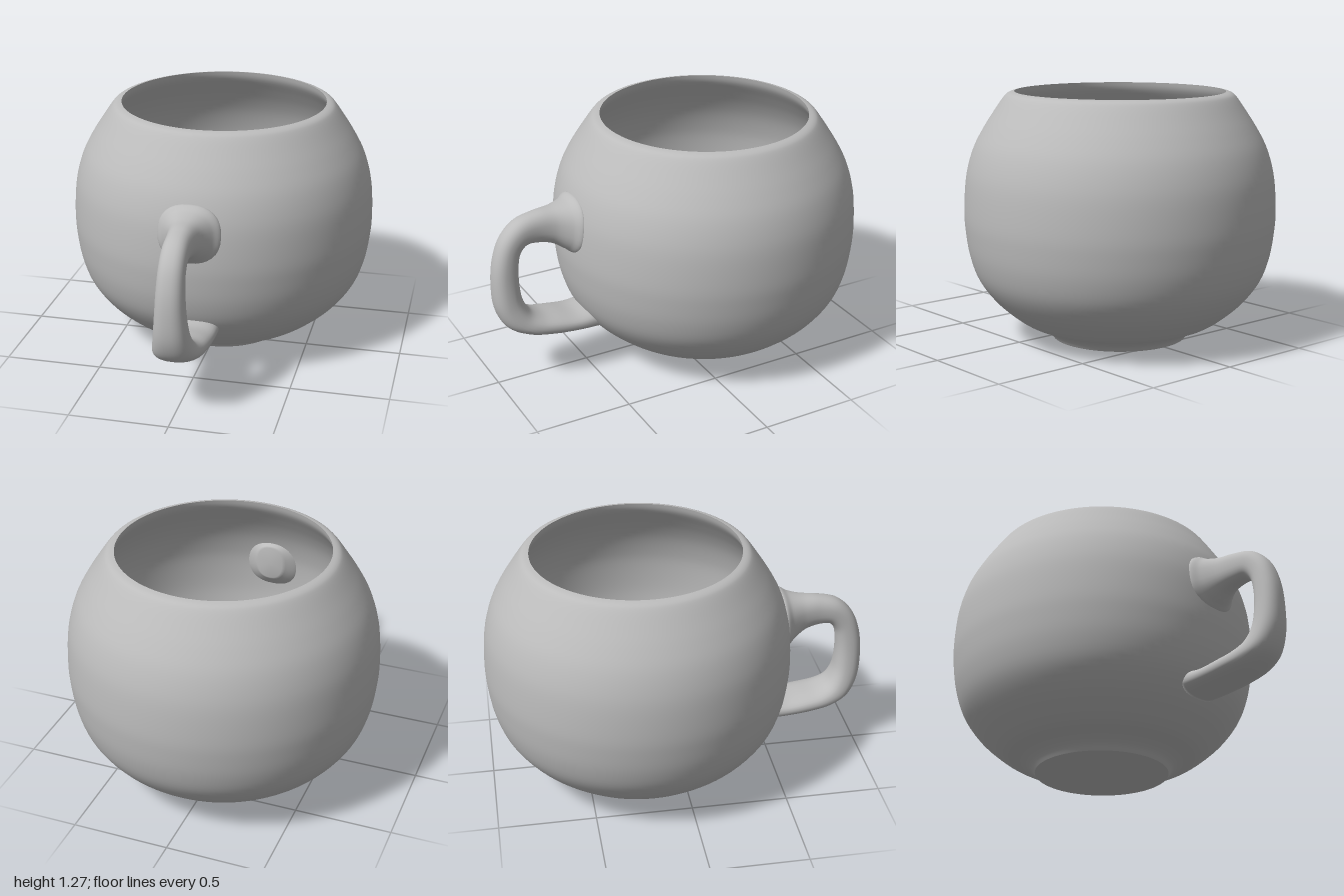
import * as THREE from 'three';

const clay = new THREE.MeshStandardMaterial({ color: 0xbcbcbc });
clay.name = 'grey clay';

const BODY_Z = -0.205;

// Smooth curve through [radius, height] pairs
const smooth = (pts, n) =>
  new THREE.SplineCurve(pts.map(([x, y]) => new THREE.Vector2(x, y))).getPoints(n);

function lathe(name, points) {
  const mesh = new THREE.Mesh(new THREE.LatheGeometry(points, 96), clay);
  mesh.name = name;
  mesh.position.z = BODY_Z;
  return mesh;
}

// Closed tube lofted through rows of [outerZ, outerY, innerZ, innerY, halfWidth]
function loftHandle(rows, steps, sides) {
  const outer = new THREE.CatmullRomCurve3(rows.map(r => new THREE.Vector3(0, r[1], r[0])));
  const inner = new THREE.CatmullRomCurve3(rows.map(r => new THREE.Vector3(r[4], r[3], r[2])));
  const pos = [], index = [];
  const squash = v => Math.sign(v) * Math.pow(Math.abs(v), 0.85);
  for (let i = 0; i <= steps; i++) {
    const a = outer.getPoint(i / steps), b = inner.getPoint(i / steps);
    for (let j = 0; j < sides; j++) {
      const t = (j / sides) * Math.PI * 2;
      const k = (1 + squash(Math.cos(t))) / 2;
      pos.push(b.x * squash(Math.sin(t)), b.y + (a.y - b.y) * k, b.z + (a.z - b.z) * k);
      if (i < steps) {
        const p = i * sides + j, q = i * sides + (j + 1) % sides;
        index.push(p, p + sides, q, q, p + sides, q + sides);
      }
    }
  }
  // End caps, buried in the wall
  for (const [row, step] of [[rows[0], 0], [rows[rows.length - 1], steps]]) {
    const c = pos.length / 3, s = step * sides;
    pos.push(0, (row[1] + row[3]) / 2, (row[0] + row[2]) / 2);
    for (let j = 0; j < sides; j++) {
      const p = s + j, q = s + (j + 1) % sides;
      if (step === 0) index.push(c, p, q);
      else index.push(c, q, p);
    }
  }
  const geo = new THREE.BufferGeometry();
  geo.setAttribute('position', new THREE.Float32BufferAttribute(pos, 3));
  geo.setIndex(index);
  geo.computeVertexNormals();
  return geo;
}

export function createModel() {
  const mug = new THREE.Group();
  mug.name = 'mug';

  // Round outer wall with a small foot and rolled rim
  mug.add(lathe('outerWall', smooth([
    [0.345, 0], [0.37, 0.03], [0.42, 0.06], [0.5, 0.093], [0.58, 0.15], [0.66, 0.225],
    [0.73, 0.325], [0.77, 0.44], [0.789, 0.56], [0.795, 0.66], [0.788, 0.8], [0.771, 0.9],
    [0.738, 1.0], [0.69, 1.09], [0.64, 1.168], [0.59, 1.24], [0.565, 1.262], [0.535, 1.27],
  ], 72)));

  // Hollow inside, from the rim down to the floor
  mug.add(lathe('innerWall', smooth([
    [0.535, 1.27], [0.55, 1.225], [0.605, 1.15], [0.66, 1.07], [0.705, 0.985], [0.737, 0.89],
    [0.754, 0.8], [0.761, 0.66], [0.755, 0.56], [0.736, 0.45], [0.697, 0.345], [0.63, 0.25],
    [0.55, 0.18], [0.47, 0.13], [0.39, 0.1], [0.32, 0.08], [0.27, 0.045],
  ], 64)));

  mug.add(lathe('innerFloor', [new THREE.Vector2(0.27, 0.045), new THREE.Vector2(0, 0.045)]));
  mug.add(lathe('base', [new THREE.Vector2(0, 0), new THREE.Vector2(0.345, 0)]));

  // Handle: flared at the top joint, wide and flat at the lower joint
  const handle = new THREE.Mesh(loftHandle([
    [0.49, 0.93, 0.49, 0.75, 0.07],
    [0.545, 0.965, 0.575, 0.67, 0.16],
    [0.59, 0.945, 0.615, 0.695, 0.125],
    [0.66, 0.93, 0.68, 0.738, 0.085],
    [0.75, 0.922, 0.75, 0.757, 0.068],
    [0.86, 0.892, 0.815, 0.757, 0.065],
    [0.94, 0.815, 0.848, 0.72, 0.065],
    [0.985, 0.7, 0.862, 0.65, 0.069],
    [1.0, 0.56, 0.863, 0.55, 0.076],
    [0.988, 0.42, 0.85, 0.465, 0.088],
    [0.94, 0.325, 0.815, 0.4, 0.105],
    [0.85, 0.275, 0.76, 0.367, 0.12],
    [0.72, 0.248, 0.67, 0.348, 0.128],
    [0.57, 0.234, 0.58, 0.335, 0.13],
    [0.45, 0.226, 0.5, 0.345, 0.13],
  ], 84, 32), clay);
  handle.name = 'handle';
  mug.add(handle);

  return mug;
}
